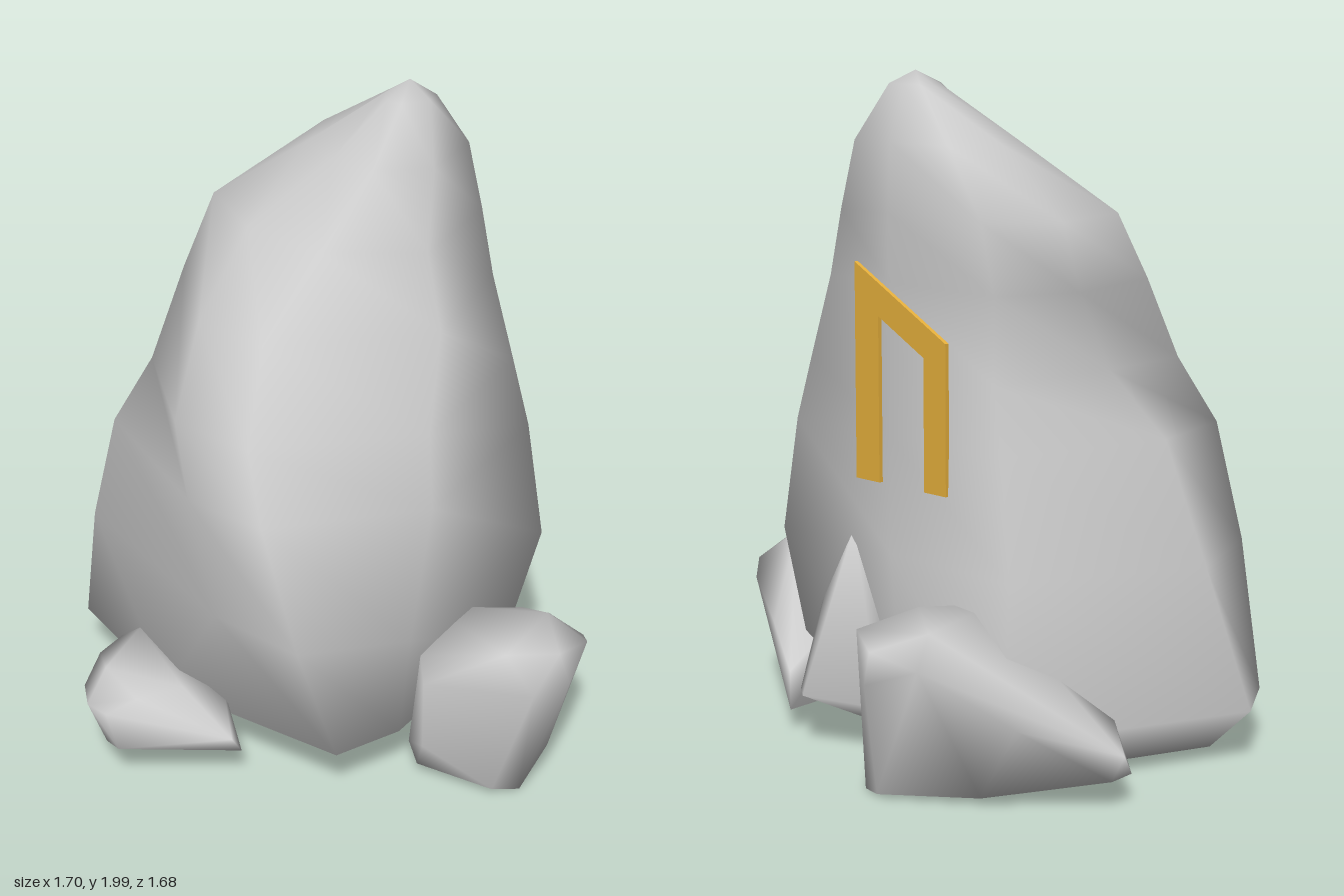
import * as THREE from 'three';
import { mergeVertices } from 'three/addons/utils/BufferGeometryUtils.js';
import { ConvexGeometry } from 'three/addons/geometries/ConvexGeometry.js';

const stone = new THREE.MeshStandardMaterial({ color: 0xcccccc });
const gold = new THREE.MeshStandardMaterial({ color: 0xe6b03c });

// Skin a stack of rings (x, z pairs, clockwise from above) and close both ends
function loft(levels, rings, bottom, top) {
  const pos = [], index = [], n = rings[0].length / 2;
  rings.forEach((ring, k) => {
    for (let i = 0; i < n; i++) pos.push(ring[2 * i], levels[k], ring[2 * i + 1]);
  });
  pos.push(...bottom, ...top);
  const low = n * rings.length, high = low + 1, last = low - n;
  for (let i = 0; i < n; i++) {
    const j = (i + 1) % n;
    for (let k = 0; k < last; k += n) {
      index.push(k + i, k + n + i, k + n + j, k + i, k + n + j, k + j);
    }
    index.push(low, i, j, high, last + j, last + i);
  }
  const geo = new THREE.BufferGeometry();
  geo.setAttribute('position', new THREE.Float32BufferAttribute(pos, 3));
  geo.setIndex(index);
  geo.computeVertexNormals();
  return geo;
}

// Smoothly shaded boulder wrapped around a few corner points
function boulder(name, corners) {
  let geo = new ConvexGeometry(corners.map((c) => new THREE.Vector3(...c)));
  geo.deleteAttribute('normal');
  geo = mergeVertices(geo, 1e-4);
  geo.computeVertexNormals();
  const mesh = new THREE.Mesh(geo, stone);
  mesh.name = name;
  return mesh;
}

export function createModel() {
  const group = new THREE.Group();
  group.name = 'standingStone';

  // Main stone: flat back, sloping front, pinched on one side.
  // Each ring runs back right, back, back left, left, front left, front, front right, right.
  const levels = [0.05, 0.17, 0.6, 0.95, 1.15, 1.4, 1.6, 1.8, 1.96];
  const rings = [
    [-0.53, -0.42, -0.1, -0.42, 0.25, -0.33, 0.3, 0, 0.25, 0.25, -0.15, 0.36, -0.58, 0.3, -0.74, 0.15],
    [-0.57, -0.53, -0.1, -0.48, 0.36, -0.42, 0.47, 0.2, 0.42, 0.42, -0.2, 0.53, -0.72, 0.4, -0.85, 0.2],
    [-0.5, -0.44, 0, -0.43, 0.48, -0.43, 0.6, 0.3, 0.42, 0.58, 0.1, 0.6, -0.6, 0.45, -0.76, 0.1],
    [-0.46, -0.43, 0, -0.43, 0.41, -0.43, 0.54, 0.15, 0.27, 0.57, 0, 0.6, -0.52, 0.42, -0.6, 0.1],
    [-0.43, -0.43, 0, -0.43, 0.34, -0.43, 0.48, 0.1, 0.18, 0.53, -0.1, 0.55, -0.45, 0.32, -0.47, 0],
    [-0.43, -0.43, 0, -0.43, 0.25, -0.43, 0.4, -0.03, 0.1, 0.39, -0.15, 0.4, -0.46, 0.17, -0.54, -0.2],
    [-0.38, -0.43, 0, -0.43, 0.2, -0.43, 0.3, -0.08, 0.08, 0.13, -0.2, 0.15, -0.46, 0.04, -0.53, -0.26],
    [-0.22, -0.4, 0, -0.42, 0.15, -0.42, 0.21, -0.2, 0.1, -0.06, -0.05, -0.05, -0.2, -0.1, -0.28, -0.25],
    [-0.02, -0.32, 0.03, -0.34, 0.1, -0.33, 0.12, -0.28, 0.08, -0.2, 0.03, -0.19, -0.02, -0.24, -0.03, -0.28],
  ];
  const main = new THREE.Mesh(loft(levels, rings, [-0.25, 0.015, 0], [0.03, 2, -0.29]), stone);
  main.name = 'mainStone';
  group.add(main);

  // Spur sloping out at the foot of the flat back
  group.add(boulder('baseSpur', [
    [0.18, 0.17, -0.62], [-0.05, 0.16, -0.52], [0.27, 0.16, -0.55], [0.34, 0.17, -0.4],
    [0.17, 0.65, -0.42], [0.05, 0.55, -0.4], [0.3, 0.5, -0.4], [0.15, 0.06, -0.4], [0.15, 0.3, -0.25],
  ]));

  // Boulders leaning against the base
  group.add(boulder('frontBoulder', [
    [-0.38, 0.29, 0.55], [-0.38, 0.27, 0.64], [-0.26, 0.31, 0.72], [-0.28, 0.27, 0.79],
    [-0.21, 0.26, 0.84], [-0.14, 0.25, 0.83], [-0.1, 0.28, 0.74], [-0.05, 0.28, 0.6],
    [0.13, 0.16, 0.57], [0.15, 0.12, 0.55], [-0.33, 0.11, 0.62], [-0.2, 0.1, 0.78],
    [-0.1, 0.14, 0.82], [0, 0.1, 0.6], [-0.3, 0.11, 0.5], [0, 0.25, 0.48], [-0.35, 0.31, 0.5],
  ]));
  group.add(boulder('leftBoulder', [
    [0.55, 0.48, 0.2], [0.6, 0.42, 0.24], [0.6, 0.2, 0.24], [0.75, 0.5, 0.05],
    [0.83, 0.47, -0.1], [0.85, 0.36, -0.13], [0.82, 0.36, 0], [0.8, 0.13, -0.1],
    [0.78, 0.01, 0], [0.74, 0.03, 0.08], [0.5, 0.04, 0.15], [0.7, 0.51, -0.2],
    [0.8, 0.42, -0.27], [0.73, 0.38, -0.34], [0.5, 0.3, -0.46], [0.32, 0.2, -0.55],
    [0.32, 0.08, -0.55], [0.45, 0.06, -0.45], [0.4, 0.5, 0], [0.42, 0.06, 0.1],
  ]));
  group.add(boulder('backBoulder', [
    [-0.34, 0.45, -0.82], [-0.34, 0.36, -0.84], [-0.22, 0.48, -0.76], [-0.45, 0.5, -0.7],
    [-0.5, 0.42, -0.79], [-0.3, 0.02, -0.76], [-0.22, 0.01, -0.73], [-0.11, 0.35, -0.64],
    [-0.1, 0.05, -0.55], [-0.03, 0.3, -0.47], [-0.25, 0.51, -0.55], [-0.55, 0.38, -0.5],
    [-0.68, 0.25, -0.59], [-0.85, 0.16, -0.34], [-0.84, 0.1, -0.3], [-0.83, 0.09, -0.37],
    [-0.68, 0.08, -0.22], [-0.68, 0.2, -0.2], [-0.55, 0.03, -0.6], [-0.35, 0.5, -0.35],
  ]));

  // Slanted gold arch set into the flat back
  const arch = new THREE.Shape([
    [0.13, 0.81], [0.13, 1.45], [-0.25, 1.25], [-0.25, 0.81],
    [-0.16, 0.81], [-0.16, 1.2], [0.03, 1.3], [0.03, 0.81],
  ].map(([x, y]) => new THREE.Vector2(x, y)));
  const inlay = new THREE.Mesh(
    new THREE.ExtrudeGeometry(arch, { depth: 0.02, bevelEnabled: false }), gold);
  inlay.position.z = -0.443;
  inlay.name = 'backInlay';
  group.add(inlay);

  return group;
}
